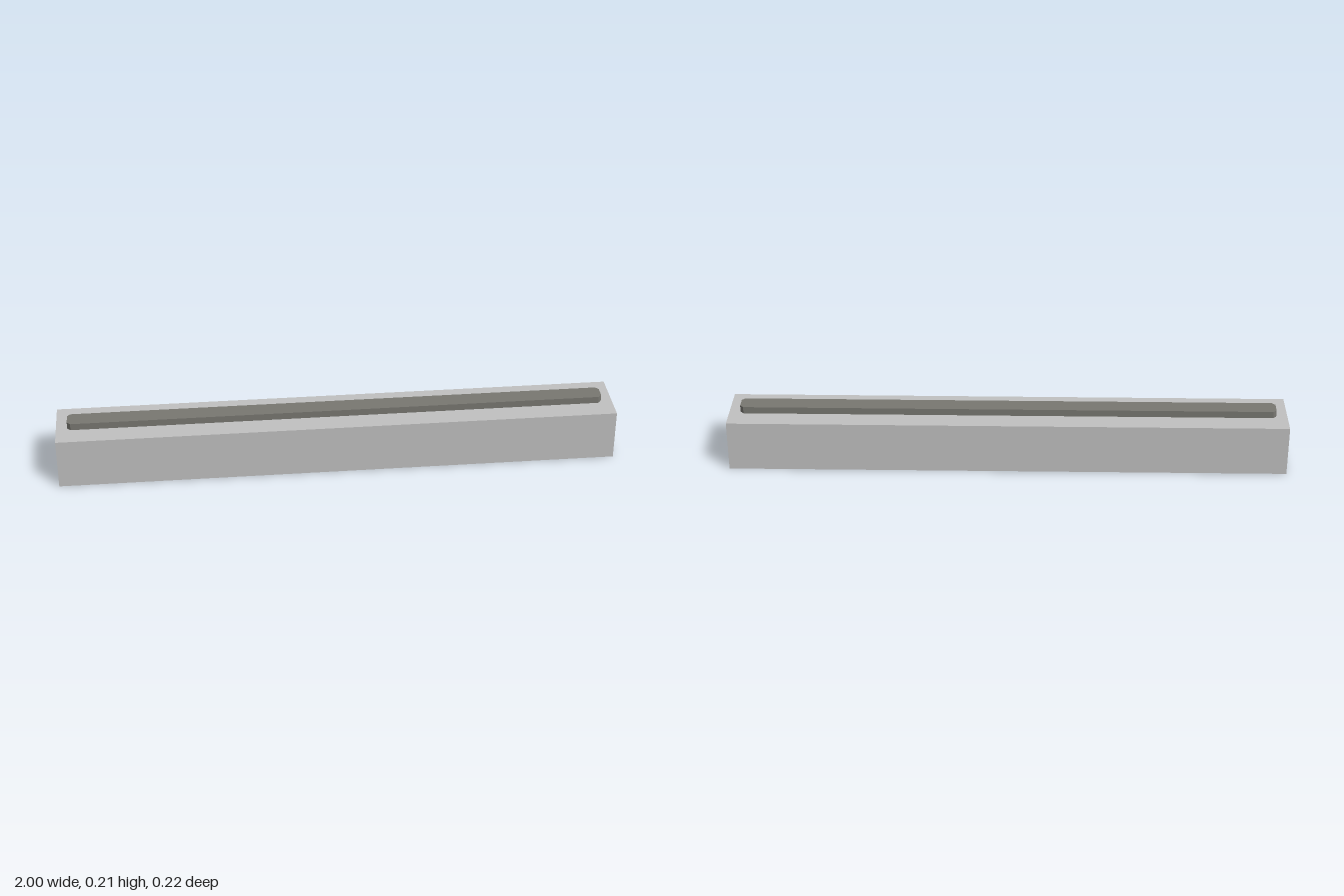
import * as THREE from 'three';

// Shape from a list of [x, y] corners
const points = (list) => list.map(([x, y]) => new THREE.Vector2(x, y));

export function createModel() {
  const model = new THREE.Group();
  model.name = 'channelBeam';

  const paleGrey = new THREE.MeshStandardMaterial({ color: 0xc0c0c0 });
  paleGrey.name = 'paleGrey';
  const darkGrey = new THREE.MeshStandardMaterial({ color: 0x787771 });
  darkGrey.name = 'darkGrey';

  // Long beam with a U-shaped slot running through its whole length
  const section = new THREE.Shape(points([
    [-0.11, 0], [0.11, 0], [0.11, 0.185], [-0.11, 0.185],
  ]));
  section.holes.push(new THREE.Path(points([
    [-0.081, 0.152], [-0.061, 0.039], [0.061, 0.039],
    [0.081, 0.152], [0.081, 0.016], [-0.081, 0.016],
  ])));
  const beamGeometry = new THREE.ExtrudeGeometry(section, { depth: 2, bevelEnabled: false });
  beamGeometry.translate(0, 0, -1).rotateY(Math.PI / 2);
  const beam = new THREE.Mesh(beamGeometry, paleGrey);
  beam.name = 'beam';
  model.add(beam);

  // Top strip with clipped corners in plan
  const length = 0.96, width = 0.033, clip = 0.012;
  const plan = new THREE.Shape(points([
    [-length + clip, -width], [length - clip, -width], [length, -width + clip],
    [length, width - clip], [length - clip, width], [-length + clip, width],
    [-length, width - clip], [-length, -width + clip],
  ]));
  const stripGeometry = new THREE.ExtrudeGeometry(plan, { depth: 0.025, bevelEnabled: false });
  stripGeometry.rotateX(-Math.PI / 2).translate(0, 0.185, 0);
  const strip = new THREE.Mesh(stripGeometry, darkGrey);
  strip.name = 'topStrip';
  model.add(strip);

  return model;
}
